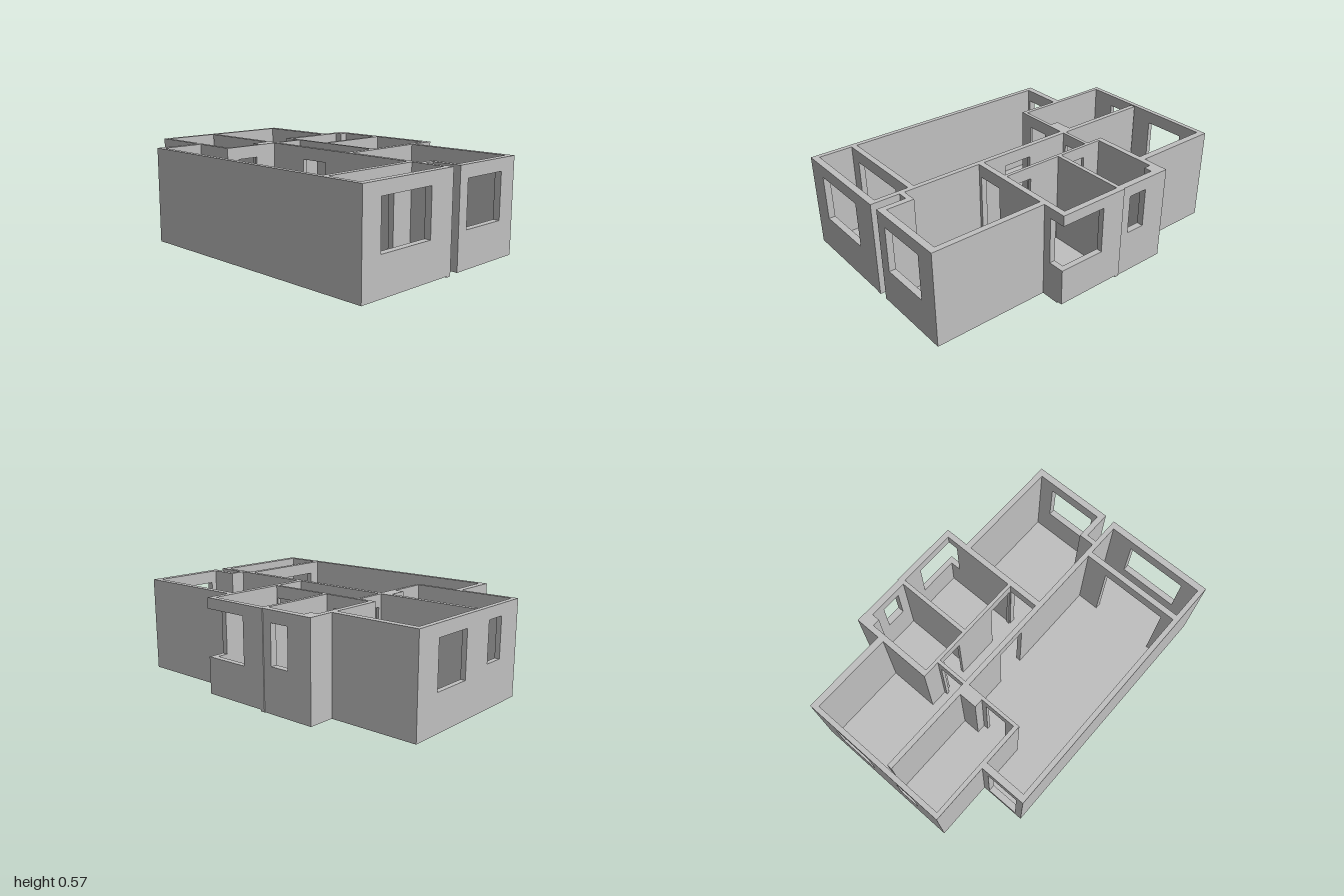
import * as THREE from 'three';

const TOP = 0.575;
const BASE = 0.006;

export function createModel() {
  const model = new THREE.Group();
  model.name = 'apartmentShell';
  const plaster = new THREE.MeshStandardMaterial({ color: 0xc0c0c0 });
  plaster.name = 'plaster grey';

  function box(parent, x0, x1, y0, y1, z0, z1, name) {
    if (x1 - x0 < 1e-4 || y1 - y0 < 1e-4 || z1 - z0 < 1e-4) return;
    const mesh = new THREE.Mesh(new THREE.BoxGeometry(x1 - x0, y1 - y0, z1 - z0), plaster);
    mesh.position.set((x0 + x1) / 2, (y0 + y1) / 2, (z0 + z1) / 2);
    mesh.name = name;
    parent.add(mesh);
  }

  // A wall filling a plan rectangle; openings are [start, end, sill, head] along its run.
  function wall(name, axis, x0, x1, z0, z1, openings = [], base = BASE) {
    const group = new THREE.Group();
    group.name = name;
    const piece = (s, e, y0, y1, part) => axis === 'x'
      ? box(group, s, e, y0, y1, z0, z1, part)
      : box(group, x0, x1, y0, y1, s, e, part);
    let at = axis === 'x' ? x0 : z0;
    for (const [s, e, sill, head] of openings) {
      piece(at, s, base, TOP, 'pier');
      piece(s, e, base, sill, 'sill');
      piece(s, e, head, TOP, 'lintel');
      at = e;
    }
    piece(at, axis === 'x' ? x1 : z1, base, TOP, 'pier');
    model.add(group);
  }

  const floorTop = 0.018;
  const doorHead = 0.5;

  // West wing: living room and front balcony
  wall('livingOuterWall', 'z', -0.70, -0.67, -0.64, 1.0);
  wall('livingBackWall', 'x', -0.67, -0.415, -0.64, -0.60, [[-0.655, -0.455, 0.05, 0.5]]);
  wall('balconyFrontWall', 'x', -0.67, -0.05, 0.96, 1.0, [[-0.57, -0.195, 0.225, 0.5]]);
  wall('balconyDividingWall', 'x', -0.67, -0.05, 0.72, 0.755, [[-0.60, -0.19, floorTop, 0.5]]);

  // Long central spine wall, open between the living room and hallway
  wall('spineWallFront', 'z', -0.05, -0.02, -0.335, 1.0, [[-0.07, 0.115, floorTop, doorHead]], 0);
  wall('spineWallBack', 'z', -0.05, -0.02, -0.96, -0.355, [], 0);

  // Back bedrooms
  wall('backWall', 'x', -0.415, 0.53, -1.0, -0.97,
    [[-0.24, -0.11, 0.265, 0.505], [0.105, 0.36, 0.225, 0.5]]);
  wall('smallBedroomSideWall', 'z', -0.415, -0.39, -0.97, -0.335);
  wall('smallBedroomFrontWall', 'x', -0.39, -0.02, -0.355, -0.335, [[-0.33, -0.19, floorTop, doorHead]]);
  wall('smallBedroomCorner', 'x', -0.16, -0.05, -0.41, -0.355);
  wall('largeBedroomSideWall', 'z', 0.49, 0.53, -0.97, -0.465);
  wall('largeBedroomFrontWall', 'x', -0.02, 0.17, -0.355, -0.335, [[0.0, 0.15, floorTop, doorHead]]);

  // East rooms along the hallway
  wall('bathroomBackWall', 'x', 0.17, 0.69, -0.465, -0.43);
  wall('bathroomCorner', 'x', 0.60, 0.65, -0.43, -0.385);
  wall('bathroomOuterWall', 'z', 0.65, 0.69, -0.43, -0.13, [[-0.305, -0.185, 0.27, 0.505]]);
  wall('hallwaySideWall', 'z', 0.17, 0.19, -0.43, 0.27,
    [[-0.31, -0.18, floorTop, doorHead], [0.10, 0.262, floorTop, doorHead]]);
  wall('eastDividingWall', 'x', 0.19, 0.695, -0.13, -0.105);

  // Kitchen with a window wrapping around its outer corner
  wall('kitchenOuterWall', 'z', 0.66, 0.695, -0.105, 0.305, [[0.02, 0.305, 0.235, 0.512]], 0.016);
  wall('kitchenFrontWall', 'x', -0.02, 0.66, 0.27, 0.305,
    [[0.0, 0.165, floorTop, doorHead], [0.595, 0.66, 0.235, 0.512]]);

  // Front bedroom, stepped around the narrow recess
  wall('frontBedroomOuterWall', 'z', 0.51, 0.545, 0.305, 1.0);
  wall('frontBedroomFrontWall', 'x', 0.04, 0.51, 0.96, 1.0, [[0.11, 0.42, 0.225, 0.5]]);
  wall('recessBackWall', 'x', -0.02, 0.075, 0.795, 0.825);
  wall('recessSideWall', 'z', 0.04, 0.075, 0.825, 0.96);

  // Room floors
  const floors = [
    ['livingFloor', -0.67, -0.05, -0.335, 0.72],
    ['livingAlcoveFloor', -0.67, -0.415, -0.60, -0.335],
    ['balconyFloor', -0.67, -0.05, 0.755, 0.96],
    ['smallBedroomFloor', -0.39, -0.05, -0.97, -0.355],
    ['largeBedroomFloor', -0.02, 0.49, -0.97, -0.465],
    ['largeBedroomEntryFloor', -0.02, 0.17, -0.465, -0.355],
    ['bathroomFloor', 0.19, 0.65, -0.43, -0.13],
    ['kitchenFloor', 0.19, 0.66, -0.105, 0.27],
    ['hallwayFloor', -0.02, 0.17, -0.335, 0.27],
    ['frontBedroomFloor', -0.02, 0.51, 0.305, 0.795],
    ['frontBedroomBayFloor', 0.075, 0.51, 0.795, 0.96],
  ];
  for (const [name, x0, x1, z0, z1] of floors) box(model, x0, x1, 0.009, floorTop, z0, z1, name);

  return model;
}
